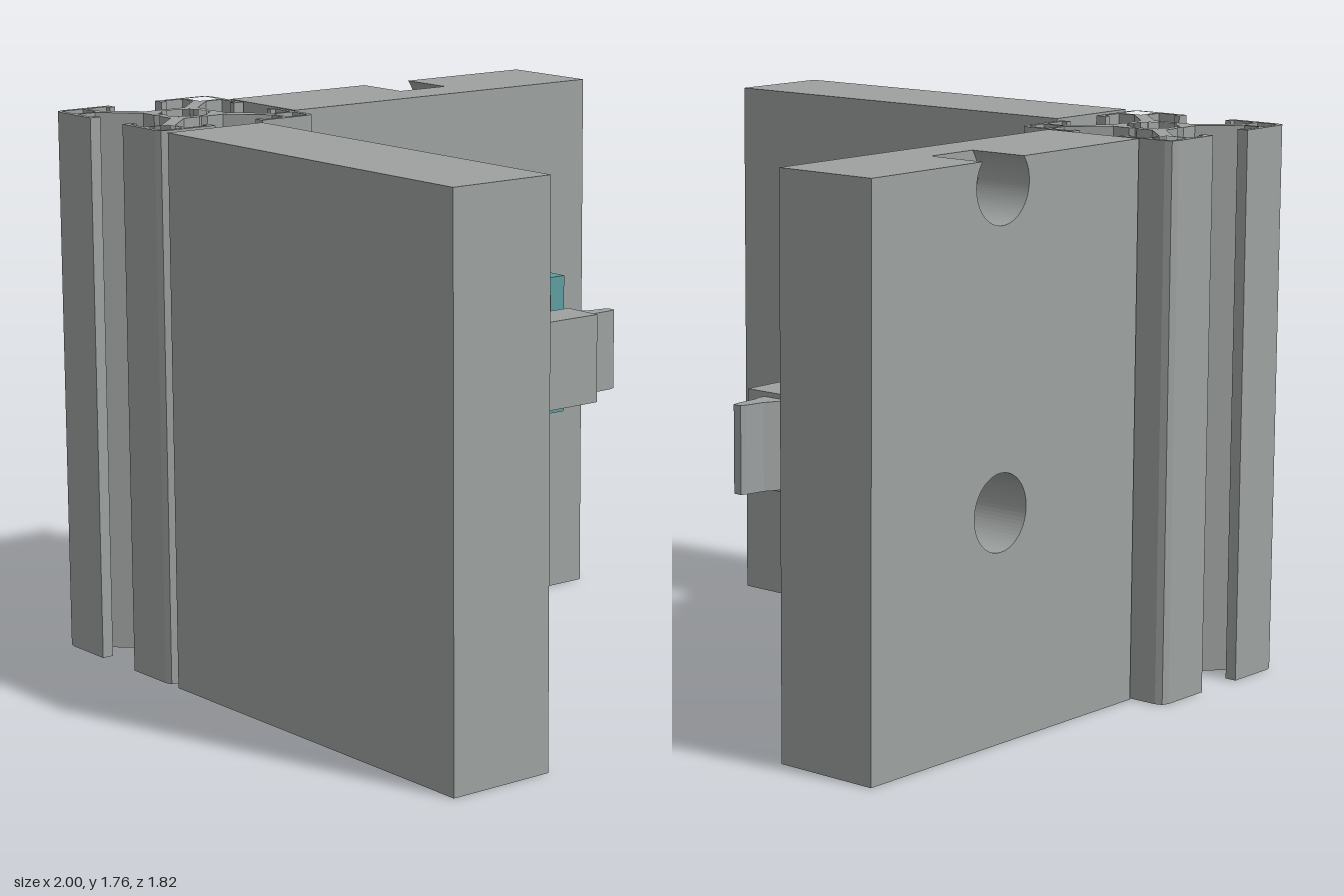
import * as THREE from 'three';

const H = 1.76;

export function createModel() {
  const model = new THREE.Group();
  const grey = new THREE.MeshStandardMaterial({ color: 0x9da1a0 });
  grey.name = 'grey metal';
  const teal = new THREE.MeshStandardMaterial({ color: 0x5f9ea0 });
  teal.name = 'teal';

  const add = (name, geometry, material = grey) => {
    const mesh = new THREE.Mesh(geometry, material);
    mesh.name = name;
    model.add(mesh);
    return mesh;
  };
  // Box given by its limits on each axis
  const box = (name, x0, x1, y0, y1, z0, z1, material) =>
    add(name, new THREE.BoxGeometry(x1 - x0, y1 - y0, z1 - z0)
      .translate((x0 + x1) / 2, (y0 + y1) / 2, (z0 + z1) / 2), material);
  const extrude = (shape, depth) =>
    new THREE.ExtrudeGeometry(shape, { depth, bevelEnabled: false, curveSegments: 32 });
  // Plan outline in (x, z) raised from y0 to y1
  const flip = (pts) => pts.map(([x, z]) => new THREE.Vector2(x, -z));
  const prism = (name, pts, y0, y1, holes = []) => {
    const shape = new THREE.Shape(flip(pts));
    holes.forEach((h) => shape.holes.push(new THREE.Path(flip(h))));
    return add(name, extrude(shape, y1 - y0).rotateX(-Math.PI / 2).translate(0, y0, 0));
  };
  const arc = (cx, cz, r, a0, a1, n) => Array.from({ length: n + 1 }, (_, i) => {
    const a = a0 + (a1 - a0) * i / n;
    return [cx + r * Math.cos(a), cz + r * Math.sin(a)];
  });
  // Cylinder along x or z
  const disc = (name, axis, r, length, x, y, z) => {
    const g = new THREE.CylinderGeometry(r, r, length, 48);
    if (axis === 'x') g.rotateZ(Math.PI / 2); else g.rotateX(Math.PI / 2);
    return add(name, g.translate(x, y, z));
  };

  // Door panel
  box('doorPanel', -0.37, 1, 0, H, 0.555, 0.91);

  // Side panel: solid inner layer, drilled outer layer with a notch at the top
  box('sidePanelInner', -0.685, -0.53, 0, H, -0.91, 0.31);
  const side = new THREE.Shape();
  const holeU = 0.335, holeR = 0.12, a = Math.asin(0.075 / holeR);
  side.moveTo(-0.31, 0);
  side.lineTo(0.91, 0);
  side.lineTo(0.91, H);
  side.lineTo(holeU + holeR * Math.cos(a), H);
  side.absarc(holeU, H - 0.075, holeR, a, Math.PI - a, true);
  side.lineTo(-0.31, H);
  side.closePath();
  const bore = new THREE.Path();
  bore.absarc(holeU, 0.71, holeR, 0, Math.PI * 2, true);
  side.holes.push(bore);
  add('sidePanelOuter', extrude(side, 0.195).rotateY(Math.PI / 2).translate(-0.88, 0, 0));

  // Slotted corner post: one side of the profile repeated four times
  const cx = -0.705, cz = 0.615, h = 0.295;
  const turn = (pts) => [0, 1, 2, 3].flatMap((k) => {
    const c = [1, 0, -1, 0][k], s = [0, 1, 0, -1][k];
    return pts.map(([u, v]) => [cx + u * c - v * s, cz + u * s + v * c]);
  });
  const half = [
    [h - 0.008, -h + 0.008], [h, -h + 0.03], [h, -0.09], [h - 0.038, -0.09], [h - 0.038, -0.11],
    [h - 0.018, -0.11], [h - 0.018, -0.185], [0.215, -0.185], [0.105, -0.075],
    [0.105, -0.015],
  ];
  const mirrored = half.slice(1).reverse().map(([u, v]) => [u, -v]);
  const postOutline = turn([...half, [0.093, 0], ...mirrored]);
  const core = turn([[0.08, -0.03], [0.072, 0], [0.08, 0.03], [0.055, 0.05], [0.075, 0.075], [0.05, 0.055]]);
  const cells = [[1, 1], [1, -1], [-1, 1], [-1, -1]].map(([sx, sz]) =>
    [[0.2, 0.2], [0.277, 0.2], [0.277, 0.277], [0.2, 0.277]].map(([u, v]) => [cx + sx * u, cz + sz * v]));
  prism('cornerPost', postOutline, 0, H, [core, ...cells]);

  // Teal spacer and mounting plate with bolts
  box('spacer', -0.53, -0.415, 0.65, 1.12, -0.73, 0.27, teal);
  box('mountingPlate', -0.415, -0.39, 0.7, 1.065, -0.65, 0.21);
  for (const z of [-0.525, 0.105]) disc('mountingBolt', 'x', 0.066, 0.05, -0.37, 0.885, z);

  // Latch housing with pivot lugs
  prism('latchHousing', [
    [-0.3, -0.65], [-0.155, -0.65], [-0.155, -0.12], [-0.12, 0], [-0.12, 0.21], [-0.3, 0.21],
  ], 0.737, 1.035);
  const lug = [[-0.29, 0.21], ...arc(-0.32, 0.155, 0.055, Math.PI / 2, Math.PI * 1.5, 14), [-0.29, 0.07]];
  for (const y of [0.737, 1.015]) {
    prism('pivotLug', lug, y, y + 0.02, [arc(-0.325, 0.143, 0.026, 0, Math.PI * 2 * 23 / 24, 23)]);
  }

  // Curved thumb release at the back of the housing
  prism('thumbRelease', [
    [-0.275, -0.78], [-0.268, -0.8], [-0.24, -0.8], [-0.233, -0.78], [-0.23, -0.7], [-0.222, -0.67],
    [-0.222, -0.65], [-0.295, -0.645], [-0.315, -0.615], [-0.315, -0.575], [-0.35, -0.575], [-0.35, -0.63],
    [-0.31, -0.67], [-0.285, -0.72],
  ], 0.75, 1.02);

  // Swinging arm: two cheeks and an outer web
  const slope = Math.atan2(0.77, 0.385), r = 0.047;
  const armEnd = (off) => [0.11 + off / Math.sin(slope), 0.465];
  const cheek = [armEnd(r),
    ...arc(-0.275, -0.305, r, slope - Math.PI / 2, slope - Math.PI * 1.5, 18), armEnd(-r)];
  for (const y of [0.72, 1.032]) prism('armCheek', cheek, y, y + 0.02);
  prism('armWeb', [armEnd(r), [-0.155, -0.17], [-0.18, -0.17], armEnd(r - 0.02)], 0.735, 1.037);
  prism('armTab', [[0.12, 0.385], [0.15, 0.4], [0.172, 0.435], [0.165, 0.45], [0.14, 0.44]], 0.82, 0.96);

  // Keeper on the door: round boss, stepped plate and bolts
  disc('keeperBoss', 'z', 0.355, 0.09, 0.06, 0.885, 0.51);
  box('keeperBase', 0.04, 0.465, 0.325, 1.455, 0.525, 0.56);
  box('keeperPlate', 0.04, 0.465, 0.335, 1.445, 0.465, 0.525);
  for (const y of [0.445, 1.33]) disc('keeperBolt', 'z', 0.068, 0.05, 0.253, y, 0.445);

  return model;
}
